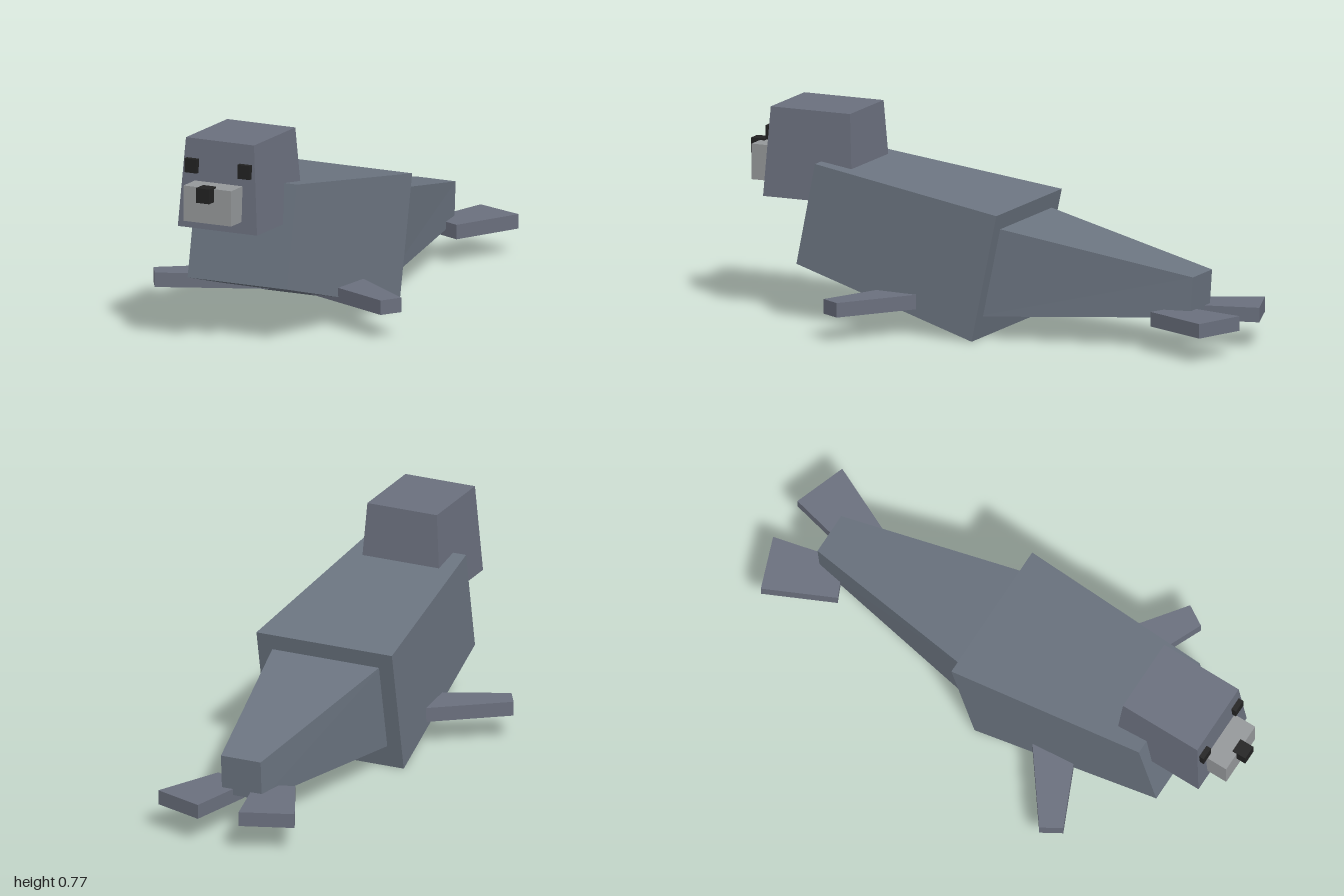
import * as THREE from 'three';

const mat = (name, color) => {
  const m = new THREE.MeshStandardMaterial({ color });
  m.name = name;
  return m;
};

// Six-sided block from a lower and an upper quad, each counter-clockwise seen from above
function block(lower, upper) {
  const c = [...lower, ...upper];
  const faces = [[3, 2, 1, 0], [4, 5, 6, 7]];
  for (let i = 0; i < 4; i++) {
    const j = (i + 1) % 4;
    faces.push([i, j, j + 4, i + 4]);
  }
  const pos = faces.flatMap(([a, b, d, e]) => [a, b, d, a, d, e].flatMap((k) => c[k]));
  const g = new THREE.BufferGeometry();
  g.setAttribute('position', new THREE.Float32BufferAttribute(pos, 3));
  g.computeVertexNormals();
  return g;
}

// Symmetric quad: half width, y and z of its front edge, then of its back edge
const quad = (wf, yf, zf, wb, yb, zb) =>
  [[-wf, yf, zf], [wf, yf, zf], [wb, yb, zb], [-wb, yb, zb]];

// Flat plate from a plan outline of [x, z]; side -1 mirrors it
function plate(outline, side, y0, y1) {
  const pts = outline.map(([x, z]) => [x * side, z]);
  if (side < 0) pts.reverse();
  const at = (y) => pts.map(([x, z]) => [x, y, z]);
  return block(at(y0), at(y1));
}

function box(x0, x1, y0, y1, z0, z1) {
  return new THREE.BoxGeometry(x1 - x0, y1 - y0, z1 - z0)
    .translate((x0 + x1) / 2, (y0 + y1) / 2, (z0 + z1) / 2);
}

export function createModel() {
  const root = new THREE.Group();
  root.name = 'seal';
  const coat = mat('slate coat', 0x6b7480);
  const headCoat = mat('slate head and flippers', 0x6a6f7d);
  const grey = mat('muzzle grey', 0x95989a);
  const dark = mat('dark', 0x222222);

  const add = (name, geometry, material) => {
    const mesh = new THREE.Mesh(geometry, material);
    mesh.name = name;
    root.add(mesh);
  };

  // Chest block, tilted up and widening towards the back
  add('body', block(
    quad(0.205, 0.21, 0.73, 0.273, 0, -0.01),
    quad(0.205, 0.587, 0.655, 0.273, 0.475, -0.11)), coat);

  // Tapering hind body
  add('tail', block(
    quad(0.22, 0.083, 0, 0.08, 0.125, -0.8),
    quad(0.22, 0.42, -0.07, 0.08, 0.275, -0.81)), coat);

  // Head, slightly narrower on top
  add('head', block(
    quad(0.163, 0.44, 0.885, 0.163, 0.44, 0.525),
    quad(0.14, 0.77, 0.865, 0.14, 0.77, 0.545)), headCoat);
  add('muzzle', box(-0.098, 0.098, 0.483, 0.615, 0.84, 0.963), grey);
  add('nose', box(-0.027, 0.027, 0.566, 0.621, 0.945, 1), dark);

  // Paired parts
  const frontOutline = [[0.05, 0.31], [0.465, 0.495], [0.51, 0.42], [0.15, 0.15]];
  const tailOutline = [[0.02, -0.735], [0.155, -0.675], [0.275, -0.93], [0.082, -1]];
  for (const [side, label] of [[1, 'left'], [-1, 'right']]) {
    const eye = box(-0.025, 0.025, 0.645, 0.697, 0.85, 0.889);
    add(label + 'Eye', eye.translate(0.109 * side, 0, 0), dark);
    add(label + 'FrontFlipper', plate(frontOutline, side, 0.095, 0.149), headCoat);
    add(label + 'TailFlipper', plate(tailOutline, side, 0.095, 0.149), headCoat);
  }
  return root;
}
